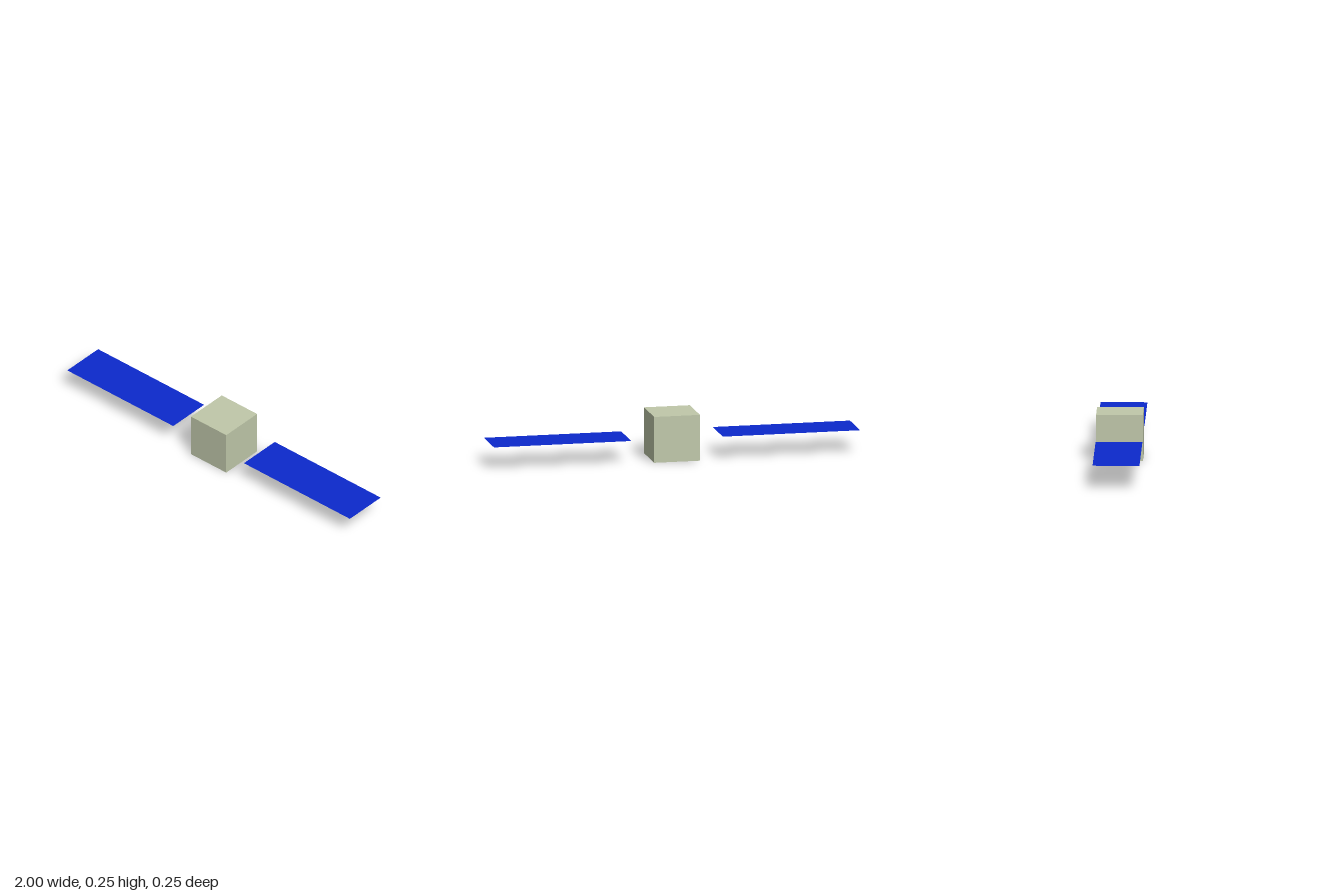
import * as THREE from 'three';

export function createModel() {
  const size = 0.25;
  const panelLength = 0.75;
  const group = new THREE.Group();
  group.name = 'satellite';

  const bodyMaterial = new THREE.MeshStandardMaterial({ color: 0xc0c8aa, flatShading: true });
  const panelMaterial = new THREE.MeshStandardMaterial({ color: 0x0c29cc, side: THREE.DoubleSide });

  // Cubic body standing on the ground
  const body = new THREE.Mesh(new THREE.BoxGeometry(size, size, size), bodyMaterial);
  body.name = 'body';
  body.position.y = size / 2;
  group.add(body);

  // Thin solar panels, level with the middle of the body
  const panelGeometry = new THREE.PlaneGeometry(panelLength, size).rotateX(-Math.PI / 2);
  for (const side of [-1, 1]) {
    const panel = new THREE.Mesh(panelGeometry, panelMaterial);
    panel.name = side > 0 ? 'leftSolarPanel' : 'rightSolarPanel';
    panel.position.set(side * (1 - panelLength / 2), size / 2, 0);
    group.add(panel);
  }

  return group;
}
